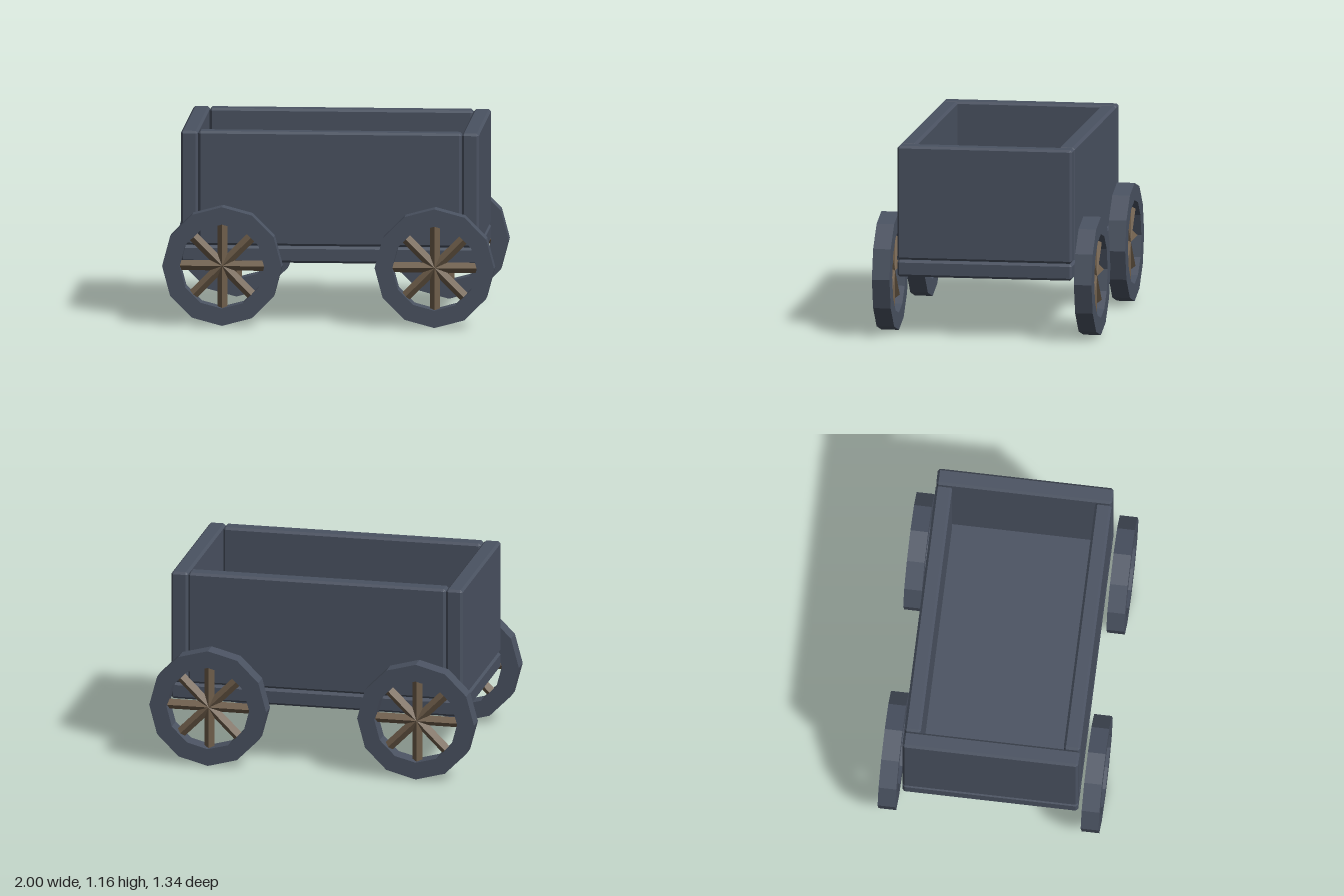
import * as THREE from 'three';
import { ConvexGeometry } from 'three/addons/geometries/ConvexGeometry.js';

const paint = new THREE.MeshStandardMaterial({ color: 0x4a5261, flatShading: true });
const wood = new THREE.MeshStandardMaterial({ color: 0x6e5d4a, flatShading: true });

// Plank: a box with a small flat chamfer on every edge
function plank(name, w, h, d, x, y, z, c = 0.014) {
  const pts = [];
  for (const sx of [-1, 1]) for (const sy of [-1, 1]) for (const sz of [-1, 1]) {
    const a = w / 2, b = h / 2, e = d / 2;
    pts.push(
      new THREE.Vector3(sx * a, sy * (b - c), sz * (e - c)),
      new THREE.Vector3(sx * (a - c), sy * b, sz * (e - c)),
      new THREE.Vector3(sx * (a - c), sy * (b - c), sz * e)
    );
  }
  const mesh = new THREE.Mesh(new ConvexGeometry(pts), paint);
  mesh.name = name;
  mesh.position.set(x, y, z);
  return mesh;
}

// Regular twelve-sided outline with corners on the axes
function ringPoints(r) {
  return Array.from({ length: 12 }, (_, i) => {
    const a = (i / 12) * Math.PI * 2;
    return new THREE.Vector2(r * Math.cos(a), r * Math.sin(a));
  });
}

const R = 0.36, HOLE = 0.255, THICK = 0.107;
const rimShape = new THREE.Shape(ringPoints(R));
rimShape.holes.push(new THREE.Path(ringPoints(HOLE)));
const rimGeo = new THREE.ExtrudeGeometry(rimShape, { depth: THICK, bevelEnabled: false });
rimGeo.translate(0, 0, -THICK / 2);

// Square bar with one edge facing outward
const spokeGeo = new THREE.CylinderGeometry(0.031, 0.031, HOLE * 2, 4);

function wheel(name, x, z) {
  const g = new THREE.Group();
  g.name = name;
  const rim = new THREE.Mesh(rimGeo, paint);
  rim.name = 'rim';
  g.add(rim);
  // Four bars across the hub give eight spokes
  for (let i = 0; i < 4; i++) {
    const bar = new THREE.Mesh(spokeGeo, wood);
    bar.name = 'spokeBar';
    bar.rotation.z = (i * Math.PI) / 4;
    g.add(bar);
  }
  g.position.set(x, R, z);
  return g;
}

export function createModel() {
  const cart = new THREE.Group();
  cart.name = 'cart';

  // Open box body
  cart.add(plank('floor', 1.795, 0.1, 1.064, 0, 0.416, 0));
  for (const s of [-1, 1]) {
    cart.add(plank(s > 0 ? 'leftEndPanel' : 'rightEndPanel', 0.103, 0.692, 1.064, s * 0.846, 0.815, 0));
    cart.add(plank(s > 0 ? 'frontPanel' : 'backPanel', 1.586, 0.692, 0.1, 0, 0.815, s * 0.482));
  }

  // Four wheels
  for (const sx of [-1, 1]) for (const sz of [-1, 1]) {
    const name = (sz > 0 ? 'front' : 'back') + (sx > 0 ? 'Left' : 'Right') + 'Wheel';
    cart.add(wheel(name, sx * 0.64, sz * 0.6145));
  }
  return cart;
}
